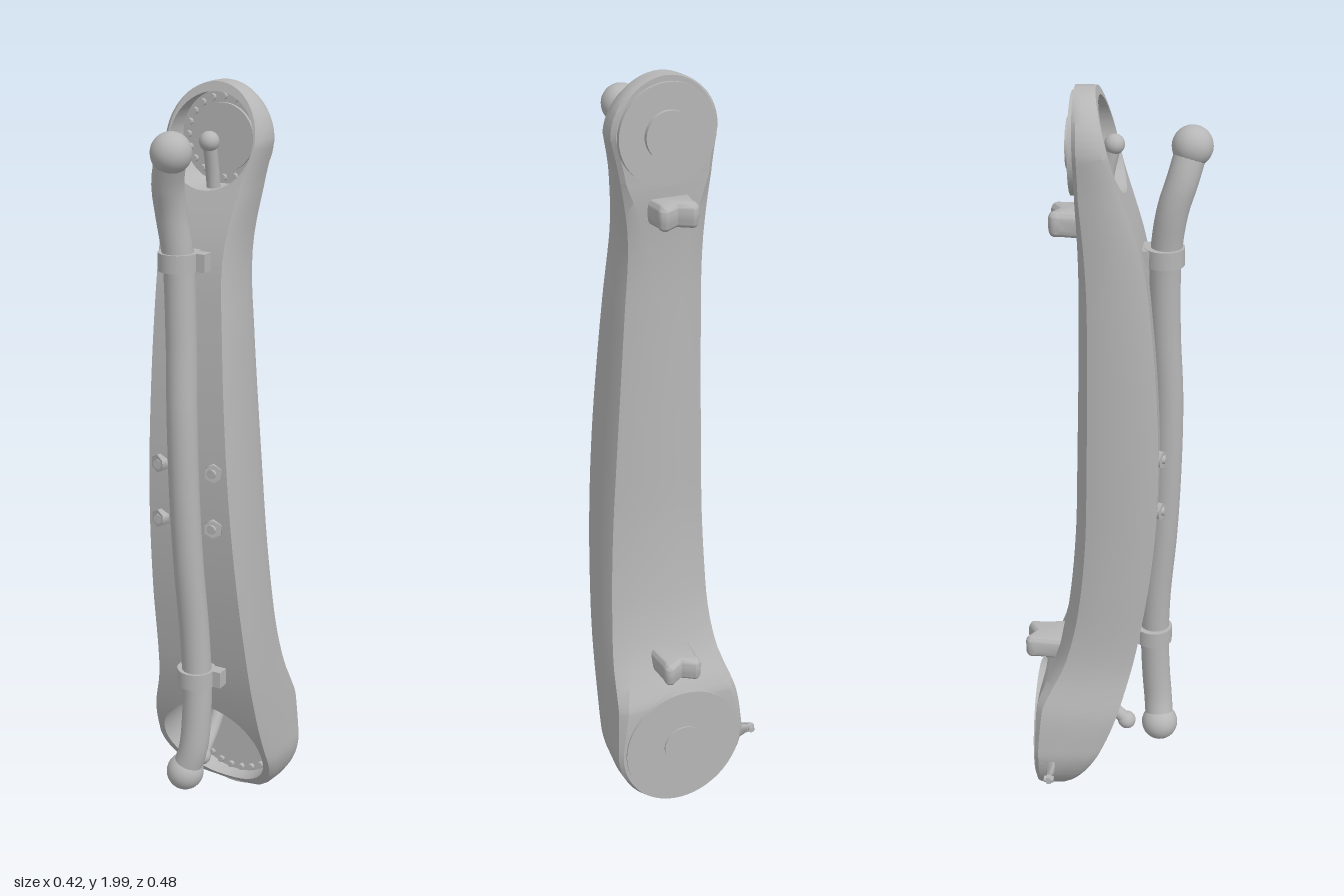
import * as THREE from 'three';
import { toCreasedNormals } from 'three/addons/utils/BufferGeometryUtils.js';

const CX = 0.025;
const TOP = { y: 1.86, r: 0.138, hole: 0.115, floor: -0.075 };
const LOW = { y: 0.19, r: 0.185, hole: 0.15, floor: -0.17 };

// smooth curve through [position, value] pairs
function curve(pts) {
  const slope = (i) => {
    const a = pts[Math.max(i - 1, 0)], b = pts[Math.min(i + 1, pts.length - 1)];
    return (b[1] - a[1]) / (b[0] - a[0]);
  };
  return (y) => {
    y = Math.min(Math.max(y, pts[0][0]), pts[pts.length - 1][0]);
    let i = 0;
    while (i < pts.length - 2 && y > pts[i + 1][0]) i++;
    const h = pts[i + 1][0] - pts[i][0], t = (y - pts[i][0]) / h;
    return pts[i][1] * (1 + 2 * t) * (1 - t) ** 2 + pts[i + 1][1] * t * t * (3 - 2 * t)
      + h * slope(i) * t * (1 - t) ** 2 + h * slope(i + 1) * t * t * (t - 1);
  };
}

const leftEdge = curve([[0.19, -0.16], [0.3, -0.148], [0.44, -0.113], [0.7, -0.104], [1, -0.1], [1.4, -0.095], [1.6, -0.093], [1.75, -0.1], [1.86, -0.113]]);
const rightEdge = curve([[0.19, 0.21], [0.44, 0.2], [0.7, 0.185], [1, 0.164], [1.4, 0.134], [1.6, 0.121], [1.75, 0.138], [1.86, 0.163]]);
const backZ = curve([[0, -0.2], [0.32, -0.197], [0.38, -0.175], [0.45, -0.145], [0.6, -0.115], [0.8, -0.096], [1, -0.09], [1.6, -0.08], [2, -0.09]]);
const frontZ = curve([[0.01, -0.16], [0.05, -0.115], [0.2, -0.02], [0.4, 0.05], [0.6, 0.09], [0.8, 0.115], [1, 0.125], [1.2, 0.12], [1.4, 0.105], [1.6, 0.078], [1.8, 0.015], [1.9, -0.012], [2, -0.04]]);
// width and depth of the shallow slopes on the back
const chamfer = curve([[0.2, 0.012], [0.36, 0.03], [0.6, 0.085], [1.45, 0.075], [1.75, 0.012]]);
const chamferLift = curve([[0.2, 0.01], [0.6, 0.03], [1.45, 0.026], [1.75, 0.01]]);

// one horizontal slice of the arm, including the open socket when inside one
function section(y) {
  let xl = leftEdge(y), xr = rightEdge(y), k = 1;
  const end = y > TOP.y ? TOP : y < LOW.y ? LOW : null;
  if (end) {
    const w = Math.sqrt(Math.max(end.r ** 2 - (y - end.y) ** 2, 0));
    xl = CX - w; xr = CX + w; k = w / end.r;
  }
  const zb = backZ(y), zf = frontZ(y), d = zf - zb;
  const cb = chamfer(y) * k, cf = 0.018 * k, lift = Math.min(chamferLift(y), d * 0.2);
  const s = y > 1 ? TOP : LOW;
  const hx = Math.sqrt(Math.max(s.hole ** 2 - (y - s.y) ** 2, 0));
  const fl = hx > 1e-5 ? Math.min(s.floor, zf) : zf;
  return [
    [xl + cb, zb], [xl + cb * 0.15, zb + lift], [xl, zb + d * 0.4], [xl + cf * 0.4, zf - d * 0.15], [xl + cf, zf],
    [CX - hx, zf], [CX - hx, fl], [CX + hx, fl], [CX + hx, zf],
    [xr - cf, zf], [xr - cf * 0.4, zf - d * 0.15], [xr, zb + d * 0.4], [xr - cb * 0.15, zb + lift], [xr - cb, zb],
  ];
}

function armGeometry() {
  const rows = [];
  for (let i = 1; i < 44; i++) rows.push(0.2 + i * 0.0375);
  for (const s of [TOP, LOW]) {
    for (let i = 0; i <= 28; i++) {
      const c = Math.cos((i / 28) * Math.PI);
      rows.push(s.y + s.hole * c);
      if ((s === TOP) === (c > 0)) rows.push(s.y + s.r * c);
    }
  }
  rows.sort((a, b) => a - b);
  const ys = rows.filter((y, i) => !i || y - rows[i - 1] > 1e-6);
  const pos = [], idx = [], n = 14;
  ys.forEach((y, i) => {
    for (const [x, z] of section(y)) pos.push(x, y, z);
    if (!i) return;
    for (let j = 0; j < n; j++) {
      const a = (i - 1) * n + j, b = (i - 1) * n + (j + 1) % n;
      idx.push(a, b, b + n, a, b + n, a + n);
    }
  });
  const g = new THREE.BufferGeometry();
  g.setAttribute('position', new THREE.Float32BufferAttribute(pos, 3));
  g.setIndex(idx);
  return toCreasedNormals(g, 0.55);
}

export function createModel() {
  const model = new THREE.Group();
  const grey = new THREE.MeshStandardMaterial({ color: 0xb6b6b6 });
  grey.name = 'light grey metal';

  const add = (name, geo, x = 0, y = 0, z = 0) => {
    const m = new THREE.Mesh(geo, grey);
    m.name = name;
    m.position.set(x, y, z);
    model.add(m);
    return m;
  };
  // disc whose axis runs front to back
  const disc = (name, r, h, x, y, z, sides = 48) =>
    add(name, new THREE.CylinderGeometry(r, r, h, sides).rotateX(Math.PI / 2), x, y, z);
  const tube = (name, pts, r) => add(name, new THREE.TubeGeometry(
    new THREE.CatmullRomCurve3(pts.map((p) => new THREE.Vector3(...p))), 60, r, 20));
  const ball = (name, r, x, y, z) => add(name, new THREE.SphereGeometry(r, 28, 18), x, y, z);

  add('armShell', armGeometry());

  // joint flanges on the back
  disc('upperFlange', 0.124, 0.024, CX, TOP.y, -0.086);
  disc('upperBoss', 0.06, 0.02, CX, TOP.y, -0.1);
  disc('lowerFlange', 0.165, 0.02, CX, LOW.y, -0.195);
  disc('lowerBoss', 0.055, 0.012, CX, LOW.y, -0.203);

  // socket plates with rings of bolts
  for (const [s, label, inner, count] of [[TOP, 'upper', 0.084, 20], [LOW, 'lower', 0.122, 26]]) {
    disc(label + 'SocketPlate', inner, 0.012, CX, s.y, s.floor + 0.004);
    const ring = (inner + s.hole) / 2;
    for (let i = 0; i < count; i++) {
      const a = (i / count) * Math.PI * 2;
      disc(label + 'SocketBolt', 0.009, 0.016, CX + ring * Math.cos(a), s.y + ring * Math.sin(a), s.floor + 0.004, 8);
    }
  }

  // outer cable with ball ends
  tube('cable', [[0.025, 1.86, 0.19], [0.003, 1.78, 0.168], [0, 1.71, 0.147], [0.01, 1.6, 0.132], [0.018, 1.4, 0.132],
    [0.025, 1.2, 0.142], [0.03, 1, 0.141], [0.037, 0.8, 0.133], [0.046, 0.6, 0.118], [0.052, 0.46, 0.115],
    [0.052, 0.34, 0.12], [0.046, 0.26, 0.127], [0.025, 0.19, 0.133]], 0.039);
  ball('cableTopBall', 0.05, 0.025, 1.86, 0.19);
  ball('cableLowBall', 0.05, 0.025, 0.19, 0.133);

  // inner cable stubs inside the sockets
  tube('upperStub', [[0.025, 1.73, -0.02], [0.025, 1.79, -0.012], [0.025, 1.86, 0.004]], 0.017);
  ball('upperStubBall', 0.025, 0.025, 1.86, 0.004);
  tube('lowerStub', [[0.03, 0.34, -0.08], [0.028, 0.25, -0.02], [0.025, 0.19, 0.04]], 0.018);
  ball('lowerStubBall', 0.025, 0.025, 0.19, 0.04);

  // clamps holding the cable
  for (const [x, y, z] of [[0.008, 1.59, 0.128], [0.047, 0.475, 0.112]]) {
    add('clampRing', new THREE.CylinderGeometry(0.05, 0.05, 0.045, 28), x, y, z);
    add('clampLug', new THREE.BoxGeometry(0.065, 0.045, 0.032), x + 0.04, y, z - 0.015);
    add('clampBase', new THREE.BoxGeometry(0.07, 0.042, 0.06), x, y, z - 0.045);
  }

  // hexagonal studs beside the cable
  for (const y of [1.06, 0.91]) {
    for (const side of [-1, 1]) {
      const x = 0.028 + side * 0.077;
      const stud = disc('stud', 0.024, 0.022, x, y, 0.125, 6);
      stud.rotation.y = side * 0.35;
      disc('studCap', 0.012, 0.03, x, y, 0.126, 16);
    }
  }

  // notched saddles on the back, with softly rounded top and bottom
  const saddle = (name, x, y, z, len) => {
    const s = new THREE.Shape();
    s.moveTo(-0.048, 0);
    s.lineTo(0.048, 0);
    s.lineTo(0.04, len - 0.03);
    s.quadraticCurveTo(0.046, len - 0.008, 0.034, len - 0.008);
    s.lineTo(0, len - 0.03);
    s.lineTo(-0.034, len - 0.008);
    s.quadraticCurveTo(-0.046, len - 0.008, -0.04, len - 0.03);
    const g = new THREE.ExtrudeGeometry(s, { depth: 0.022, bevelEnabled: true, bevelThickness: 0.02, bevelSize: 0.012, bevelOffset: -0.002, bevelSegments: 6, curveSegments: 6 });
    add(name, toCreasedNormals(g.rotateX(-Math.PI / 2), 0.7), x, y - 0.011, z);
  };
  saddle('upperSaddle', 0.015, 1.672, -0.065, 0.086);
  saddle('lowerSaddle', 0.036, 0.442, -0.125, 0.111);

  // tapered side latch by the lower joint
  const latch = add('latchArm', new THREE.CylinderGeometry(0.014, 0.034, 0.05, 4, 1).rotateY(Math.PI / 4), -0.17, 0.147, -0.157);
  latch.rotation.z = Math.PI / 2;
  latch.scale.z = 0.55;
  add('latchTip', new THREE.BoxGeometry(0.026, 0.02, 0.012), -0.199, 0.143, -0.157);
  disc('latchPin', 0.009, 0.026, -0.202, 0.143, -0.157, 12);

  return model;
}
